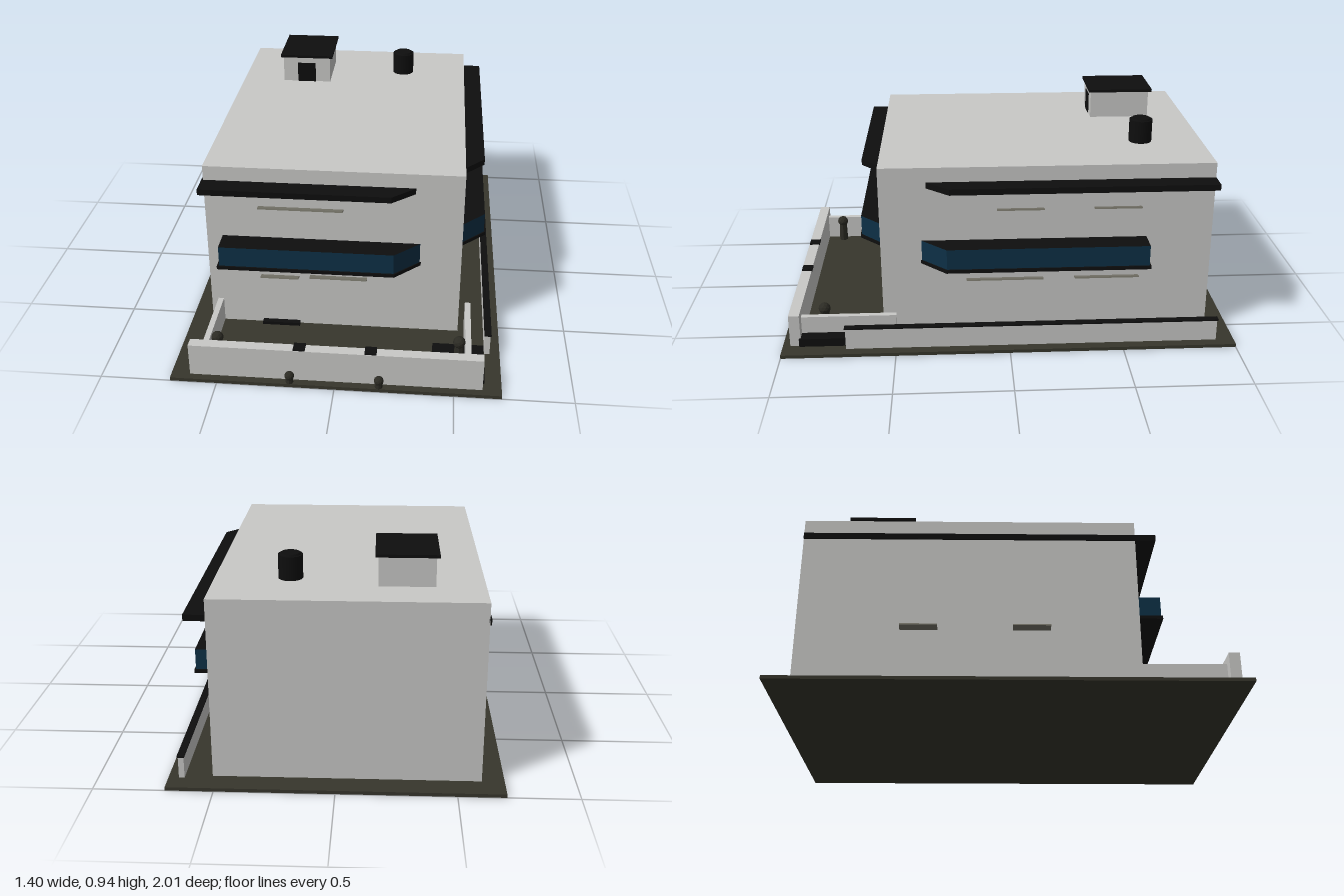
import * as THREE from 'three';

const mat = (name, color, extra = {}) => {
  const m = new THREE.MeshStandardMaterial({ color, ...extra });
  m.name = name;
  return m;
};

export function createModel() {
  const model = new THREE.Group();
  model.name = 'house';
  const plaster = mat('plaster', 0xc8c8c6);
  const black = mat('black trim', 0x0e0e0e);
  const glass = mat('blue glass', 0x0d3046);
  const ground = mat('dark ground', 0x37362c);
  const slatGrey = mat('slat grey', 0x77756a);
  const bushDark = mat('dark foliage', 0x2c2b24, { flatShading: true });

  const add = (name, geo, material) => {
    const m = new THREE.Mesh(geo, material);
    m.name = name;
    model.add(m);
    return m;
  };
  // Box given by its extents on each axis
  const box = (name, material, x0, x1, y0, y1, z0, z1) => {
    const m = add(name, new THREE.BoxGeometry(x1 - x0, y1 - y0, z1 - z0), material);
    m.position.set((x0 + x1) / 2, (y0 + y1) / 2, (z0 + z1) / 2);
    return m;
  };
  // Flat slab from a plan outline of [x, z] points
  const slab = (name, materials, pts, y0, y1) => {
    const shape = new THREE.Shape(pts.map(([x, z]) => new THREE.Vector2(x, -z)));
    const geo = new THREE.ExtrudeGeometry(shape, { depth: y1 - y0, bevelEnabled: false });
    geo.rotateX(-Math.PI / 2);
    add(name, geo, materials).position.y = y0;
  };

  const L = -0.605, R = 0.517, B = -0.9, F = 0.56;

  // Ground plate and main block
  box('groundPlate', ground, -0.7, 0.7, 0, 0.015, -1, 1);
  box('mainBlock', plaster, L, R, 0.012, 0.803, B, F);

  // Chamfered bays: front outline and right-hand outline
  const front = (x0, x1, z, c) => [[x0, F - 0.02], [x0, z], [x1 - c, z], [x1, F], [x1, F - 0.02]];
  const side = (z0, z1, x, c) => [[R - 0.02, z0], [x, z0], [x, z1 - c], [R, z1], [R - 0.02, z1]];

  // Windows (dark caps, blue faces) with sills
  slab('frontWindow', [black, glass], front(-0.535, 0.335, 0.665, 0.11), 0.373, 0.465);
  slab('sideWindow', [black, glass], side(-0.61, 0.38, 0.622, 0.11), 0.373, 0.465);
  slab('frontSill', black, front(-0.545, 0.34, 0.671, 0.112), 0.357, 0.373);
  slab('sideSill', black, side(-0.617, 0.385, 0.628, 0.112), 0.357, 0.373);

  // Upper canopies and the thin band along the left wall
  slab('frontCanopy', black, front(-0.612, 0.31, 0.65, 0.1), 0.71, 0.737);
  slab('sideCanopy', black, side(B, 0.355, 0.606, 0.1), 0.71, 0.737);
  box('leftBand', black, -0.612, L + 0.005, 0.71, 0.737, B, F);

  // Small shades tilted up, away from the wall
  const slat = (wall, a, b, y) => {
    const pivot = new THREE.Group();
    pivot.name = wall + 'Shade';
    const m = new THREE.Mesh(new THREE.BoxGeometry(b - a, 0.007, 0.036), slatGrey);
    m.name = 'shadeBlade';
    m.position.z = 0.015;
    m.rotation.x = -0.27;
    pivot.add(m);
    const mid = (a + b) / 2;
    if (wall === 'front') pivot.position.set(mid, y, F);
    else {
      const s = wall === 'right' ? 1 : -1;
      pivot.position.set(s > 0 ? R : L, y, mid);
      pivot.rotation.y = s * Math.PI / 2;
    }
    model.add(pivot);
  };
  slat('front', -0.37, 0, 0.62);
  slat('front', -0.15, 0.105, 0.278);
  slat('front', -0.37, -0.2, 0.27);
  slat('right', -0.155, 0.05, 0.611);
  slat('right', -0.58, -0.375, 0.611);
  slat('right', -0.155, 0.185, 0.279);
  slat('right', -0.58, -0.295, 0.279);
  slat('left', 0.02, 0.18, 0.275);
  slat('left', -0.46, -0.3, 0.275);

  // Garden walls
  box('frontWall', plaster, -0.62, 0.62, 0.012, 0.163, 0.92, 0.967);
  box('leftGardenWall', plaster, -0.575, -0.55, 0.012, 0.13, F - 0.01, 0.922);
  box('rightGardenWall', plaster, 0.545, 0.57, 0.012, 0.13, 0.5, 0.922);
  box('longSideWall', plaster, 0.632, 0.656, 0.012, 0.111, -0.92, 0.72);
  box('longWallCap', black, 0.629, 0.66, 0.111, 0.117, -0.925, 0.724);
  for (const x of [-0.15, 0.15]) {
    box('wallCap', black, x - 0.025, x + 0.025, 0.16, 0.17, 0.917, 0.965);
  }
  box('cornerStep', black, 0.405, 0.628, 0.012, 0.052, 0.71, 0.927);
  box('doorStep', black, -0.37, -0.2, 0.012, 0.03, F - 0.01, 0.585);

  // Shrubs: faceted crown over a short stem
  const shrub = (x, y, z, r, base) => {
    add('shrubCrown', new THREE.IcosahedronGeometry(r, 1), bushDark).position.set(x, y, z);
    const h = y - base;
    add('shrubStem', new THREE.CylinderGeometry(r * 0.7, r * 0.8, h, 8), bushDark)
      .position.set(x, base + h / 2, z);
  };
  for (const x of [-0.19, 0.187]) shrub(x, 0.047, 0.984, 0.021, 0.013);
  shrub(-0.522, 0.12, 0.84, 0.027, 0.013);
  shrub(0.518, 0.145, 0.82, 0.027, 0.05);

  // Roof hut with door and flat cap
  box('roofHut', plaster, -0.4, -0.165, 0.8, 0.932, -0.72, -0.44);
  box('roofHutCap', black, -0.413, -0.152, 0.93, 0.943, -0.735, -0.43);
  box('roofHutDoor', black, -0.328, -0.238, 0.803, 0.9, -0.443, -0.436);

  // Water tank
  add('waterTank', new THREE.CylinderGeometry(0.052, 0.052, 0.105, 24), black).position.set(0.2, 0.853, -0.62);
  add('waterTankLid', new THREE.CylinderGeometry(0.04, 0.045, 0.008, 24), black).position.set(0.2, 0.909, -0.62);

  return model;
}
